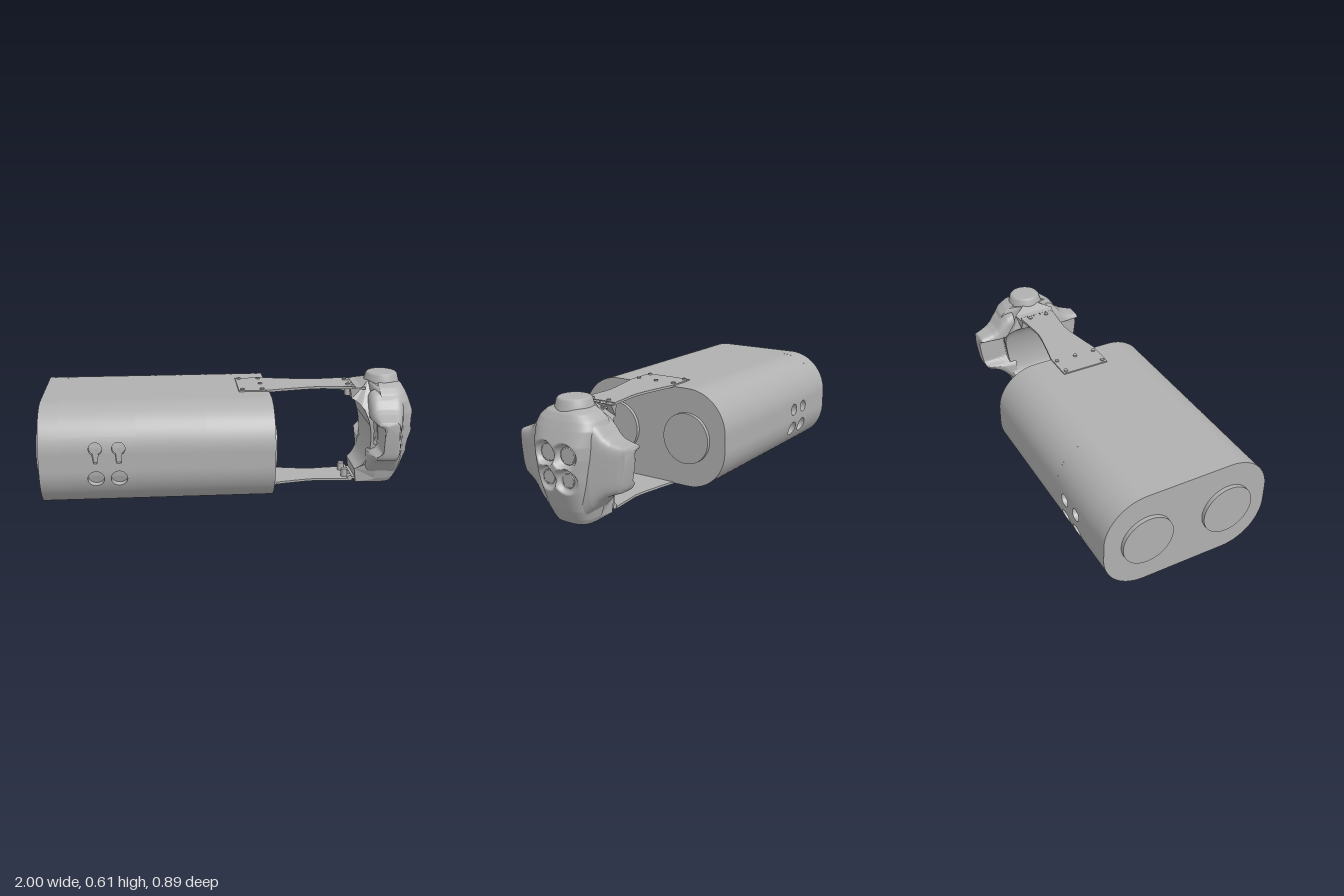
import * as THREE from 'three';

const grey = new THREE.MeshStandardMaterial({ color: 0xb0b0b0, side: THREE.DoubleSide });
grey.name = 'grey';

// surface from a point function on a (nu x nv) grid, u and v in 0..1
function sheet(fn, nu, nv) {
  const pos = [], idx = [];
  for (let j = 0; j <= nv; j++) for (let i = 0; i <= nu; i++) pos.push(...fn(i / nu, j / nv));
  for (let j = 0; j < nv; j++) for (let i = 0; i < nu; i++) {
    const a = j * (nu + 1) + i, b = a + nu + 1;
    idx.push(a, a + 1, b, a + 1, b + 1, b);
  }
  const g = new THREE.BufferGeometry();
  g.setAttribute('position', new THREE.Float32BufferAttribute(pos, 3));
  g.setIndex(idx);
  g.computeVertexNormals();
  return g;
}

function add(group, name, geo, x = 0, y = 0, z = 0) {
  const m = new THREE.Mesh(geo, grey);
  m.name = name;
  m.position.set(x, y, z);
  group.add(m);
  return m;
}

const lerp = THREE.MathUtils.lerp, smooth = THREE.MathUtils.smoothstep;

// piecewise linear lookup in rows of [key, value, ...]
function table(rows, key, col) {
  if (key <= rows[0][0]) return rows[0][col];
  for (let i = 1; i < rows.length; i++) if (key <= rows[i][0]) {
    const a = rows[i - 1], b = rows[i];
    return lerp(a[col], b[col], (key - a[0]) / (b[0] - a[0]));
  }
  return rows[rows.length - 1][col];
}

const midY = 0.2825;

function makeBody() {
  const g = new THREE.Group();
  g.name = 'body';
  // rounded section in (z, y), starting at the middle of the front side
  const R = 0.22, fz = 0.225, fy = 0.0425, q = Math.PI / 2;
  const sec = new THREE.Shape();
  sec.moveTo(fz + R, 0);
  sec.absarc(fz, fy, R, 0, q);
  sec.absarc(-fz, fy, R, q, 2 * q);
  sec.absarc(-fz, -fy, R, 2 * q, 3 * q);
  sec.absarc(fz, -fy, R, 3 * q, 4 * q);
  sec.lineTo(fz + R, 0);
  const L = sec.getLength();
  const at = (x, s) => {
    const p = sec.getPoint((((s / L) % 1) + 1) % 1);
    return [x, midY + p.y, p.x];
  };
  const X0 = -0.98, B0 = -0.88, B1 = -0.5, X1 = 0.2;
  const wall = (x0, x1, s0, s1, n) =>
    add(g, 'bodyWall', sheet((u, v) => at(lerp(x0, x1, v), lerp(s0, s1, u)), n, 2));
  wall(X0, B0, 0, L, 160);
  wall(B1, X1, 0, L, 160);
  wall(B0, B1, 0.09, L / 2 - 0.09, 50);
  wall(B0, B1, L / 2 + 0.16, 0.75 * L - 0.11, 30);
  wall(B0, B1, 0.75 * L + 0.11, L - 0.16, 30);

  // wall cell with a round recess
  function cell(x0, x1, s0, s1, cx, cs, r) {
    const rect = u => {
      const k = Math.min(3, Math.floor(u * 4 + 1e-9)), f = u * 4 - k;
      return [[lerp(x0, x1, f), s0], [x1, lerp(s0, s1, f)], [lerp(x1, x0, f), s1], [x0, lerp(s1, s0, f)]][k];
    };
    const ring = u => {
      const p = rect(u), a = Math.atan2(p[1] - cs, p[0] - cx);
      return [cx + r * Math.cos(a), cs + r * Math.sin(a)];
    };
    const a = at(cx, cs - 0.01), b = at(cx, cs + 0.01);
    const n = new THREE.Vector3(0, a[2] - b[2], b[1] - a[1]).normalize().multiplyScalar(-0.03);
    if (n.y * (midY - a[1]) + n.z * -a[2] < 0) n.negate();
    const sunk = (p, k) => { const c = at(...p); return [c[0], c[1] + n.y * k, c[2] + n.z * k]; };
    add(g, 'recessCollar', sheet((u, v) => {
      const p = rect(u), c = ring(u);
      return at(lerp(p[0], c[0], v), lerp(p[1], c[1], v));
    }, 64, 5));
    add(g, 'recessWall', sheet((u, v) => sunk(ring(u), v), 64, 1));
    add(g, 'recessFloor', sheet((u, v) => {
      const c = ring(u);
      return sunk([lerp(c[0], cx, v), lerp(c[1], cs, v)], 1);
    }, 64, 1));
  }
  const xm = -0.6425;
  for (const [c, d] of [[0, 1], [L / 2, -1]]) for (const [x0, x1, cx] of [[B0, xm, -0.7], [xm, B1, -0.585]]) {
    cell(x0, x1, c - 0.0275 * d, c + 0.09 * d, cx, c + 0.03 * d, 0.033);
    cell(x0, x1, c - 0.16 * d, c - 0.0275 * d, cx, c - 0.085 * d, 0.041);
  }
  for (const d of [-1, 1]) cell(B0, B1, 0.75 * L, 0.75 * L + 0.11 * d, -0.8, 0.75 * L + 0.052 * d, 0.036);

  // flat ends with two round plates each
  for (const [x, s] of [[X0, -1], [X1, 1]]) {
    add(g, 'bodyEnd', new THREE.ShapeGeometry(sec, 40), x, midY, 0).rotation.y = -Math.PI / 2;
    for (const z of [-0.22, 0.22])
      add(g, 'endPlate', new THREE.CylinderGeometry(0.135, 0.135, 0.02, 64), x + s * 0.01, midY, z).rotation.z = Math.PI / 2;
  }
  return g;
}

// waisted strap with rivets and hinge; side is 1 for top, -1 for bottom
function makeStrap(side) {
  const g = new THREE.Group();
  g.name = side > 0 ? 'topStrap' : 'bottomStrap';
  const upper = [[0.04, 0.13], [0.2, 0.13], [0.32, 0.105], [0.45, 0.084], [0.55, 0.09], [0.65, 0.1]]
    .map(p => new THREE.Vector2(...p));
  const lower = upper.map(p => new THREE.Vector2(p.x, -p.y)).reverse();
  const s = new THREE.Shape();
  s.moveTo(upper[0].x, upper[0].y);
  s.lineTo(0.18, 0.13);
  s.splineThru(upper.slice(1));
  s.lineTo(0.65, -0.1);
  s.splineThru(lower.slice(1, 5));
  s.lineTo(0.04, -0.13);
  const y = midY + side * 0.263;
  add(g, 'strapPlate', new THREE.ExtrudeGeometry(s, { depth: 0.012, bevelEnabled: false, curveSegments: 24 }), 0, y + 0.006, 0)
    .rotation.x = Math.PI / 2;
  const rivets = [[0.06, -0.11], [0.06, 0.11], [0.165, -0.11], [0.165, 0], [0.165, 0.11], [0.635, -0.05], [0.635, 0.05]];
  for (const [x, z] of rivets)
    add(g, 'rivet', new THREE.CylinderGeometry(0.011, 0.011, 0.008, 20), x, y + side * 0.009, z);
  // hinge knuckles and pin
  for (let i = 0; i < 5; i++)
    add(g, 'hingeKnuckle', new THREE.CylinderGeometry(0.014, 0.014, 0.034, 20), 0.66, y - side * 0.008, (i - 2) * 0.039)
      .rotation.x = Math.PI / 2;
  add(g, 'hingePin', new THREE.CylinderGeometry(0.009, 0.009, 0.19, 16), 0.66, y - side * 0.008, 0).rotation.x = Math.PI / 2;
  add(g, 'hingeLeaf', new THREE.BoxGeometry(0.07, 0.01, 0.18), 0.69, y - side * 0.008, 0);
  for (const z of [-0.05, 0.05])
    add(g, 'hingeBoss', new THREE.CylinderGeometry(0.018, 0.018, 0.045, 24), 0.635, y - side * 0.028, z);
  return g;
}

function makeHead() {
  const g = new THREE.Group();
  g.name = 'head';
  // rows: height, half width, front reach
  const rows = [[0.004, 0.1, 0.9], [0.03, 0.115, 0.915], [0.08, 0.13, 0.94], [0.19, 0.145, 0.98], [0.24, 0.152, 0.995],
    [0.35, 0.17, 1.0], [0.41, 0.177, 0.995], [0.48, 0.182, 0.968], [0.52, 0.165, 0.95], [0.55, 0.13, 0.932],
    [0.57, 0.09, 0.9], [0.576, 0.01, 0.86]];
  const eyes = [[0.36, 0.058, 0.04], [0.24, 0.058, 0.032]];
  const xb = 0.79;
  // curved face with scooped eye sockets
  add(g, 'face', sheet((u, v) => {
    const y = lerp(0.004, 0.576, v), s = Math.sin((u - 0.5) * Math.PI);
    const z = -s * table(rows, y, 1);
    let x = xb + (table(rows, y, 2) - xb) * Math.pow(Math.max(0, 1 - Math.pow(Math.abs(s), 3.3)), 0.3);
    for (const [ey, ez] of eyes) {
      const k = 1 - smooth(Math.hypot(Math.abs(z) - ez, y - ey), 0.045, 0.068);
      x = lerp(x, Math.min(x, 0.955), k);
    }
    return [x, y, z];
  }, 110, 130));
  for (const [y, z, r] of eyes) for (const sz of [-z, z]) {
    add(g, 'eyeRim', new THREE.TorusGeometry(r, 0.004, 8, 40), 0.956, y, sz).rotation.y = Math.PI / 2;
    add(g, 'eyeLens', new THREE.CylinderGeometry(r, r, 0.008, 40), 0.955, y, sz).rotation.z = Math.PI / 2;
  }
  add(g, 'chinPlate', sheet((u, v) => {
    const s = Math.sin((u - 0.5) * Math.PI);
    return [xb + 0.11 * v * Math.pow(Math.max(0, 1 - Math.pow(Math.abs(s), 3.3)), 0.3), 0.004, -s * 0.1];
  }, 40, 1));

  // concave rear with a slot right through, narrowed to follow the face
  const s = new THREE.Shape();
  s.moveTo(0.8, 0.004);
  s.lineTo(0.69, 0.008);
  s.lineTo(0.68, 0.085);
  s.splineThru([[0.715, 0.115], [0.742, 0.17], [0.752, 0.25], [0.745, 0.33], [0.722, 0.41], [0.69, 0.46], [0.65, 0.485]]
    .map(p => new THREE.Vector2(...p)));
  s.lineTo(0.64, 0.54);
  s.lineTo(0.7, 0.55);
  s.lineTo(0.745, 0.573);
  s.lineTo(0.8, 0.576);
  for (let i = 22; i > 0; i--) s.lineTo(0.8, 0.576 * i / 23);
  const slot = new THREE.Path();
  slot.moveTo(0.757, 0.38);
  slot.lineTo(0.775, 0.38);
  slot.lineTo(0.789, 0.25);
  slot.lineTo(0.776, 0.235);
  slot.lineTo(0.766, 0.25);
  slot.lineTo(0.766, 0.32);
  s.holes.push(slot);
  const rear = new THREE.ExtrudeGeometry(s, { depth: 2, bevelEnabled: false, curveSegments: 40 });
  const p = rear.attributes.position;
  for (let i = 0; i < p.count; i++) {
    const x = p.getX(i), w = table(rows, p.getY(i), 1);
    p.setZ(i, (p.getZ(i) - 1) * lerp(Math.min(w, 0.1), w, smooth(x, 0.66, 0.74)));
  }
  rear.computeVertexNormals();
  add(g, 'innerRear', rear);

  // side ears; rows: reach, low y, high y, back x, front x
  const ear = [[0.11, 0.06, 0.54, 0.725, 0.93], [0.15, 0.1, 0.52, 0.728, 0.925], [0.18, 0.135, 0.49, 0.732, 0.915],
    [0.21, 0.16, 0.452, 0.736, 0.905], [0.24, 0.175, 0.432, 0.74, 0.895], [0.28, 0.19, 0.42, 0.744, 0.88],
    [0.297, 0.217, 0.417, 0.746, 0.872], [0.311, 0.3, 0.413, 0.75, 0.866], [0.318, 0.36, 0.408, 0.755, 0.862],
    [0.32, 0.39, 0.391, 0.8, 0.802]];
  for (const side of [-1, 1])
    add(g, side > 0 ? 'frontEar' : 'backEar', sheet((u, v) => {
      const z = lerp(0.11, 0.32, v), a = u * Math.PI * 2;
      const r = f => Math.sign(f) * Math.pow(Math.abs(f), 0.4);
      const y = lerp(table(ear, z, 1), table(ear, z, 2), (r(Math.sin(a)) + 1) / 2);
      let x = lerp(table(ear, z, 3), table(ear, z, 4), (r(Math.cos(a)) + 1) / 2);
      // keep the slot clear, and follow the concave rear below it
      const open = smooth(y, 0.2, 0.235) * (1 - smooth(y, 0.38, 0.4));
      x = Math.max(x, lerp(0.735, 0.789, open));
      return [x, y, side * z];
    }, 120, 42));

  // crown button and foot disc
  const crown = [[0.1, 0.545], [0.094, 0.565], [0.085, 0.6], [0.078, 0.608], [0.07, 0.611], [0, 0.611]]
    .map(c => new THREE.Vector2(...c));
  add(g, 'crown', new THREE.LatheGeometry(crown, 48), 0.828, 0, 0);
  add(g, 'foot', new THREE.CylinderGeometry(0.055, 0.05, 0.02, 40), 0.8, 0.01, 0);
  return g;
}

export function createModel() {
  const model = new THREE.Group();
  model.name = 'model';
  model.add(makeBody(), makeStrap(1), makeStrap(-1), makeHead());
  return model;
}
